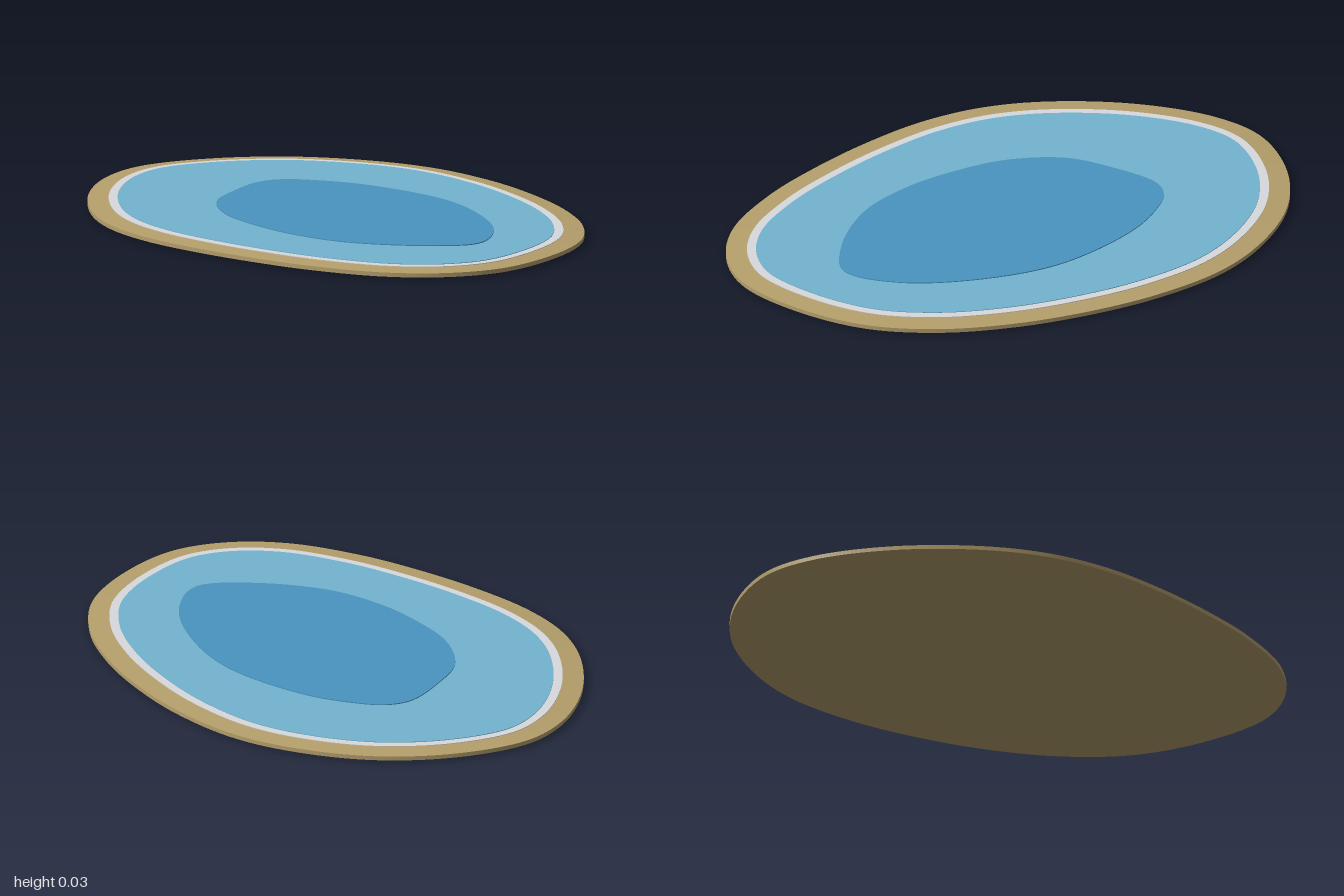
import * as THREE from 'three';
import { toCreasedNormals } from 'three/addons/utils/BufferGeometryUtils.js';

// Smooth closed outline through a few [x, z] points
function outline(points) {
  const curve = new THREE.CatmullRomCurve3(
    points.map(([x, z]) => new THREE.Vector3(x, -z, 0)), true, 'centripetal');
  const pts = curve.getSpacedPoints(200).slice(0, -1);
  return new THREE.Shape(pts.map((p) => new THREE.Vector2(p.x, p.y)));
}

// Flat slab between two heights; its outline is moved inwards by inset,
// and its edges slope over the width rim with the height slope
function slab(name, shape, color, { bottom, top, inset = 0, rim = 0, slope = 0.001 }) {
  const geometry = new THREE.ExtrudeGeometry(shape, {
    depth: top - bottom - 2 * slope,
    bevelEnabled: true,
    bevelSegments: 1,
    bevelThickness: slope,
    bevelSize: rim,
    bevelOffset: -inset - rim,
  });
  geometry.rotateX(-Math.PI / 2);
  geometry.translate(0, bottom + slope, 0);
  const mesh = new THREE.Mesh(
    toCreasedNormals(geometry, 0.07),
    new THREE.MeshStandardMaterial({ color }));
  mesh.name = name;
  return mesh;
}

export function createModel() {
  const group = new THREE.Group();
  group.name = 'pond';

  const shore = outline([
    [-1, 0.05], [-0.95, -0.2], [-0.81, -0.43], [-0.6, -0.6], [-0.38, -0.695],
    [-0.1, -0.725], [0.17, -0.7], [0.4, -0.645], [0.62, -0.55], [0.81, -0.4],
    [0.94, -0.18], [1, 0.07], [0.95, 0.26], [0.82, 0.42], [0.6, 0.55],
    [0.38, 0.63], [0.14, 0.69], [-0.1, 0.72], [-0.32, 0.7], [-0.53, 0.62],
    [-0.77, 0.45], [-0.94, 0.24],
  ]);
  const deep = outline([
    [-0.52, -0.07], [-0.5, -0.155], [-0.425, -0.23], [-0.27, -0.32], [0.05, -0.39],
    [0.32, -0.345], [0.57, -0.22], [0.685, -0.06], [0.6, 0.1], [0.4, 0.27],
    [0.2, 0.335], [0.02, 0.348], [-0.18, 0.325], [-0.36, 0.23], [-0.455, 0.09],
  ]);

  group.add(
    // Sandy bank with a gently sloping rim
    slab('sandBank', shore, 0xb59f6b, { bottom: 0, top: 0.026, rim: 0.07, slope: 0.006 }),
    // Pale line of foam along the water's edge
    slab('foamEdge', shore, 0xd8dadd, { bottom: 0.004, top: 0.028, inset: 0.07 }),
    // Shallow and deep water
    slab('shallowWater', shore, 0x74b4d0, { bottom: 0.004, top: 0.03, inset: 0.1 }),
    slab('deepWater', deep, 0x4a94c0, { bottom: 0.004, top: 0.033 }),
  );
  return group;
}
